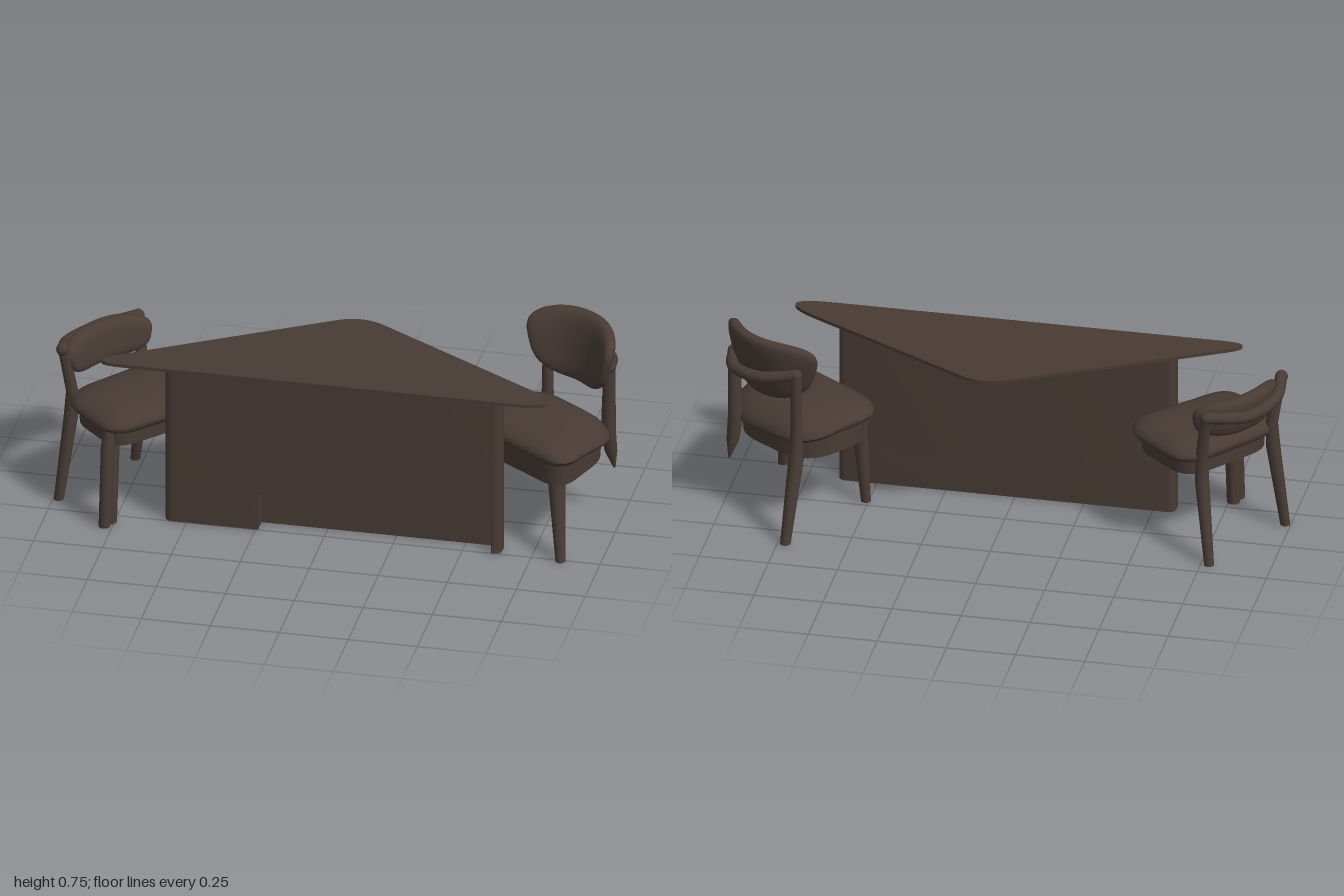
import * as THREE from 'three';
import { mergeVertices, toCreasedNormals } from 'three/addons/utils/BufferGeometryUtils.js';

const wood = new THREE.MeshStandardMaterial({ color: 0x483b34 });
wood.name = 'dark brown wood';

function add(group, name, geometry) {
  const mesh = new THREE.Mesh(geometry, wood);
  mesh.name = name;
  group.add(mesh);
  return mesh;
}

// Plan outline (x, z) from corners [x, z, rounding]
function roundedPlan(corners) {
  const shape = new THREE.Shape();
  const n = corners.length;
  corners.forEach(([x, z, d], i) => {
    const c = new THREE.Vector2(x, z);
    const toward = (k) => {
      const q = corners[(k + n) % n];
      return new THREE.Vector2(q[0], q[1]).sub(c).setLength(d).add(c);
    };
    const a = toward(i - 1), b = toward(i + 1);
    if (i === 0) shape.moveTo(a.x, a.y); else shape.lineTo(a.x, a.y);
    shape.quadraticCurveTo(c.x, c.y, b.x, b.y);
  });
  shape.closePath();
  return shape;
}

// Flat slab between two heights
function slab(corners, y0, y1) {
  const g = new THREE.ExtrudeGeometry(roundedPlan(corners), { depth: y1 - y0, bevelEnabled: false, curveSegments: 10 });
  g.rotateX(Math.PI / 2).translate(0, y1, 0);
  return toCreasedNormals(g, 0.6);
}

// Skin over horizontal rings, listed from top to bottom
function loft(rings) {
  const n = rings[0].length, index = [];
  for (let i = 0; i < rings.length - 1; i++) {
    for (let j = 0; j < n; j++) {
      const a = i * n + j, b = i * n + (j + 1) % n;
      index.push(a, b, a + n, b, b + n, a + n);
    }
  }
  const g = new THREE.BufferGeometry();
  g.setAttribute('position', new THREE.Float32BufferAttribute(rings.flat(2), 3));
  g.setIndex(index);
  return toCreasedNormals(g, 0.8);
}

// Plan outline lofted through [scale, y] rows; the rim sinks toward the rear by drop = [per x, per z]
function cushion(corners, rows, drop) {
  let pts = roundedPlan(corners).getPoints(10);
  if (THREE.ShapeUtils.area(pts) < 0) pts.reverse();
  if (pts[0].distanceTo(pts[pts.length - 1]) < 1e-5) pts.pop();
  const cx = corners.reduce((s, c) => s + c[0], 0) / corners.length;
  const cz = corners.reduce((s, c) => s + c[1], 0) / corners.length;
  return loft(rows.map(([s, y]) => pts.map((p) => {
    const dx = (p.x - cx) * s, dz = (p.y - cz) * s;
    return [cx + dx, y - Math.max(0, drop[0] * dx + drop[1] * dz) * s * s, cz + dz];
  })));
}

// Tapered leg through [x, y, z, radius] rows, closed at both ends
function limb(rows) {
  const first = [...rows[0]], last = [...rows[rows.length - 1]];
  first[3] = last[3] = 0;
  return loft([first, ...rows, last].map(([x, y, z, r]) =>
    Array.from({ length: 14 }, (_, k) => {
      const t = k / 14 * Math.PI * 2;
      return [x + Math.cos(t) * r, y, z + Math.sin(t) * r];
    })));
}

// Pillow-shaped panel bent along a plan curve and leaning outward
function backrest({ plan, y0, y1, lean, thick, flare }) {
  const curve = new THREE.QuadraticBezierCurve(...plan.map((p) => new THREE.Vector2(...p)));
  let g = new THREE.SphereGeometry(1, 48, 32);
  g.deleteAttribute('uv');
  g.deleteAttribute('normal');
  g = mergeVertices(g);
  const p = g.attributes.position;
  const square = (v) => Math.sign(v) * Math.abs(v) ** 0.65;
  for (let i = 0; i < p.count; i++) {
    const v = square(p.getY(i));
    const s = square(p.getX(i)) * (1 + flare * v) / (1 + flare * 0.6);
    const u = THREE.MathUtils.clamp((s + 1) / 2, 0, 1);
    const c = curve.getPoint(u), t = curve.getTangent(u);
    const out = lean * v - thick * square(p.getZ(i));
    p.setXYZ(i, c.x + t.y * out, (y0 + y1) / 2 + v * (y1 - y0) / 2, c.y - t.x * out);
  }
  g.computeVertexNormals();
  return g;
}

function chair(name, o) {
  const g = new THREE.Group();
  g.name = name;
  add(g, 'seat', cushion(o.seat, [[0, 0.444], [0.45, 0.442], [0.75, 0.434], [0.92, 0.42],
    [0.99, 0.405], [1, 0.393], [0.96, 0.378], [0.86, 0.365], [0, 0.362]], o.rearDrop));
  // Hollow frame under the seat
  add(g, 'seatApron', cushion(o.seat, [[0.88, 0.38], [0.86, o.apron], [0.78, o.apron], [0.78, 0.375]], [0, 0]));
  add(g, 'backrest', backrest(o.back));
  for (const leg in o.legs) add(g, leg, limb(o.legs[leg]));
  // Rail behind the backrest, with rounded ends on the back legs
  const pts = o.rail.map((p) => new THREE.Vector3(...p));
  add(g, 'backRail', new THREE.TubeGeometry(new THREE.CatmullRomCurve3(pts), 28, 0.022, 12));
  for (const end of [pts[0], pts[pts.length - 1]])
    add(g, 'railEnd', new THREE.SphereGeometry(0.023, 16, 12)).position.copy(end);
  return g;
}

export function createModel() {
  const model = new THREE.Group();
  model.name = 'tableWithTwoChairs';

  // Table, its thin top dipping slightly to the front
  const table = new THREE.Group();
  table.name = 'table';
  model.add(table);
  const top = slab([[-0.87, 0.305, 0.15], [0.93, 0.305, 0.25], [0.04, -0.215, 0.1]], 0.631, 0.643);
  add(table, 'tabletop', top.applyMatrix4(new THREE.Matrix4().makeShear(0, 0, 0, 0, 0, -0.025)));
  add(table, 'tableBase', slab([[-0.58, 0.17, 0.03], [0.64, 0.17, 0.03], [0.64, 0.25, 0.03], [-0.58, 0.25, 0.03]], 0.14, 0.63));
  // Lower part of the base, leaving a toe recess at the front
  add(table, 'baseFoot', slab([[-0.58, 0.17, 0.03], [0.64, 0.17, 0.03], [0.64, 0.25, 0.03], [0.605, 0.25, 0.001],
    [0.605, 0.19, 0.001], [-0.24, 0.19, 0.001], [-0.24, 0.25, 0.001], [-0.58, 0.25, 0.03]], 0, 0.14));

  // Taller chair, with one shortened back leg
  model.add(chair('tallChair', {
    seat: [[0.42, -0.01, 0.14], [0.88, 0.31, 0.12], [1.01, -0.07, 0.15], [0.65, -0.31, 0.16]],
    apron: 0.285,
    rearDrop: [0.13, -0.13],
    back: { plan: [[0.622, -0.215], [0.9, -0.29], [0.965, 0.005]], y0: 0.505, y1: 0.752, lean: 0.028, thick: 0.034, flare: 0.1 },
    legs: {
      frontLeftLeg: [[0.825, 0.38, 0.185, 0.034], [0.83, 0.28, 0.19, 0.032], [0.857, 0, 0.255, 0.018]],
      frontRightLeg: [[0.535, 0.38, 0.03, 0.032], [0.53, 0.28, 0.03, 0.028], [0.51, 0, 0.035, 0.018]],
      backRightLeg: [[0.7, 0.64, -0.268, 0.02], [0.7, 0.42, -0.255, 0.021], [0.7, 0.3, -0.262, 0.028], [0.722, 0, -0.342, 0.019]],
      backLeftLeg: [[0.96, 0.61, -0.09, 0.022], [0.955, 0.36, -0.095, 0.027], [0.962, 0.27, -0.105, 0.023], [0.973, 0.2, -0.113, 0.004]],
    },
    rail: [[0.962, 0.615, -0.085], [0.945, 0.605, -0.18], [0.84, 0.61, -0.255], [0.7, 0.635, -0.265]],
  }));

  // Lower chair, with one front leg missing
  model.add(chair('lowChair', {
    seat: [[-0.41, 0.04, 0.12], [-0.74, 0.39, 0.1], [-0.98, 0.16, 0.12], [-0.69, -0.2, 0.12]],
    apron: 0.318,
    rearDrop: [0, 0],
    back: { plan: [[-0.94, 0.165], [-0.92, -0.09], [-0.705, -0.14]], y0: 0.47, y1: 0.615, lean: 0.012, thick: 0.034, flare: 0.04 },
    legs: {
      backRightLeg: [[-0.965, 0.59, 0.155, 0.02], [-0.938, 0.42, 0.138, 0.022], [-0.942, 0.32, 0.143, 0.026], [-0.98, 0, 0.168, 0.018]],
      backLeftLeg: [[-0.765, 0.575, -0.175, 0.02], [-0.74, 0.4, -0.125, 0.022], [-0.742, 0.3, -0.13, 0.026], [-0.78, 0, -0.19, 0.018]],
      frontLegOuter: [[-0.765, 0.38, 0.3, 0.025], [-0.77, 0.3, 0.32, 0.025], [-0.778, 0, 0.337, 0.021]],
      frontLegInner: [[-0.755, 0.38, 0.27, 0.027], [-0.76, 0.3, 0.285, 0.026], [-0.765, 0, 0.298, 0.024]],
    },
    rail: [[-0.968, 0.595, 0.16], [-0.972, 0.57, 0.04], [-0.9, 0.56, -0.1], [-0.768, 0.58, -0.18]],
  }));
  return model;
}
